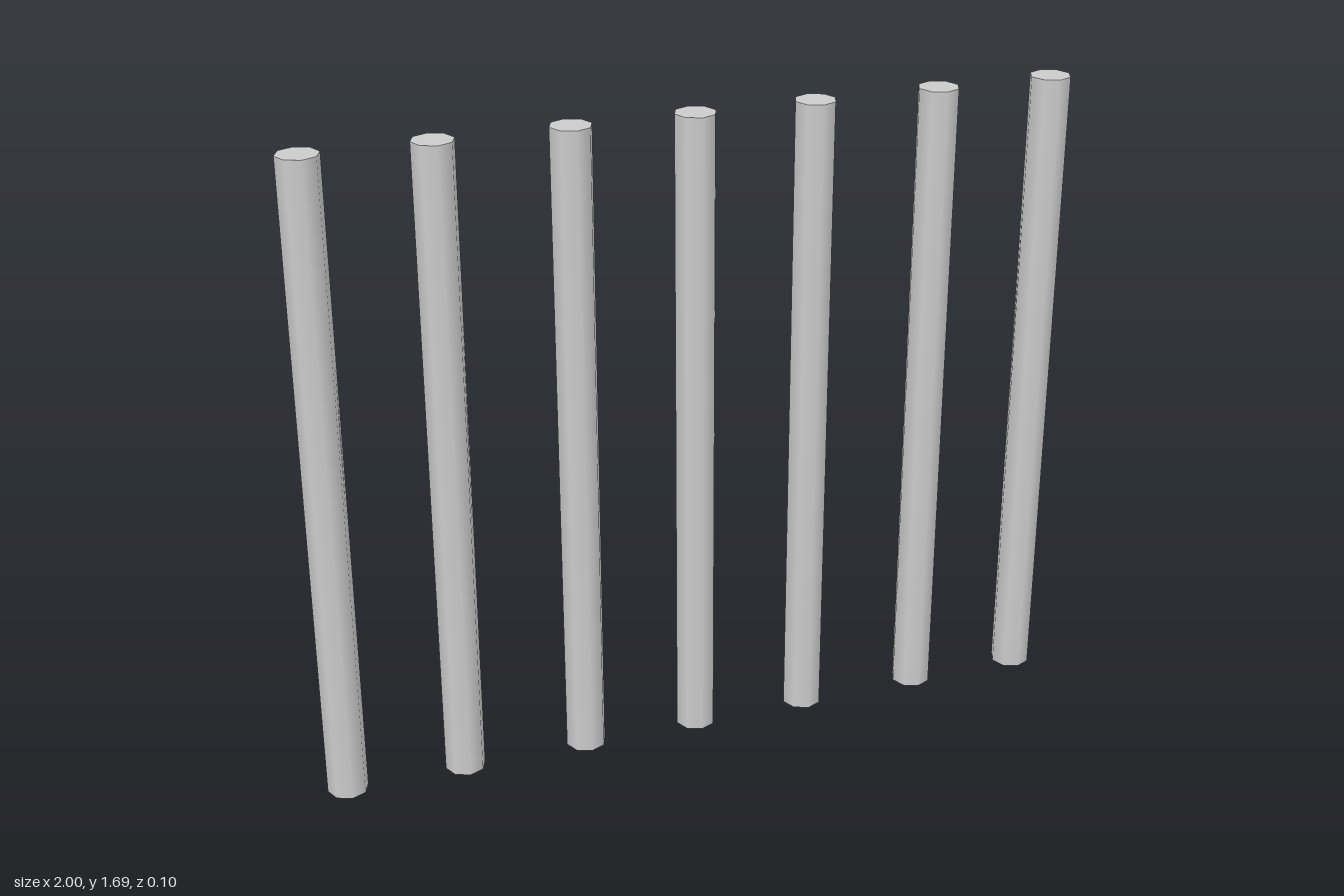
import * as THREE from 'three';

export function createModel() {
  const model = new THREE.Group();
  model.name = 'barRow';
  const material = new THREE.MeshStandardMaterial({ color: 0xcccccc });
  const radius = 0.0525;
  const height = 1.69;

  // Eight-sided upright bar, shared by the whole row
  const barGeometry = new THREE.CylinderGeometry(radius, radius, height, 8);

  function addBar(name, x) {
    const bar = new THREE.Mesh(barGeometry, material);
    bar.name = name;
    bar.position.set(x, height / 2, 0);
    model.add(bar);
  }

  // Centre bar, then mirrored pairs working outwards
  addBar('centreBar', 0);
  [0.309, 0.638, 1 - radius].forEach((x, i) => {
    addBar(`leftBar${i + 1}`, x);
    addBar(`rightBar${i + 1}`, -x);
  });

  return model;
}
